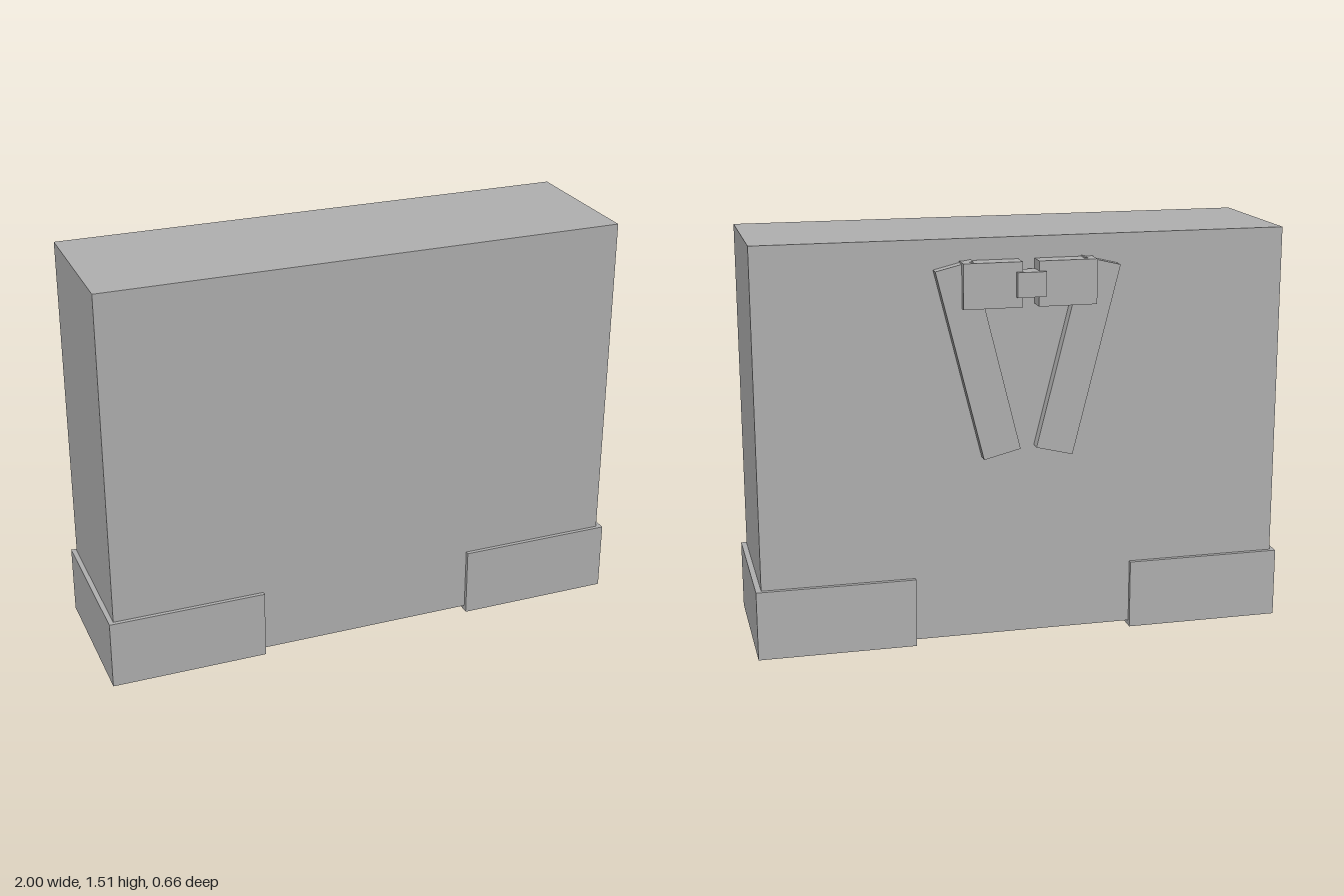
import * as THREE from 'three';

const grey = new THREE.MeshStandardMaterial({ color: 0xb0b0b0 });
grey.name = 'grey';

// Box given by its minimum and maximum corners
function block(name, [x0, y0, z0], [x1, y1, z1]) {
  const geometry = new THREE.BoxGeometry(x1 - x0, y1 - y0, z1 - z0);
  geometry.translate((x0 + x1) / 2, (y0 + y1) / 2, (z0 + z1) / 2);
  const mesh = new THREE.Mesh(geometry, grey);
  mesh.name = name;
  return mesh;
}

// Slanted ribbon hanging from the bow, narrowing inward toward the bottom
function ribbonTail(name, side) {
  const corners = [[0.34, 1.407], [0.204, 1.44], [0.03, 0.744], [0.166, 0.71]];
  const shape = new THREE.Shape(corners.map(([x, y]) => new THREE.Vector2(side * x, y)));
  const geometry = new THREE.ExtrudeGeometry(shape, { depth: 0.042, bevelEnabled: false });
  geometry.translate(0, 0, -0.285);
  const mesh = new THREE.Mesh(geometry, grey);
  mesh.name = name;
  return mesh;
}

export function createModel() {
  const model = new THREE.Group();
  model.name = 'torso';

  // Main body slab
  model.add(block('body', [-0.982, 0.02, -0.239], [0.98, 1.515, 0.316]));

  // Bow on the back
  const bow = new THREE.Group();
  bow.name = 'bow';
  bow.position.x = -0.005;
  bow.add(block('bowKnot', [-0.053, 1.31, -0.33], [0.053, 1.4, -0.255]));
  model.add(bow);

  // Mirrored parts: lower corner cuffs, bow loops and ribbon tails
  for (const [label, side] of [['left', 1], ['right', -1]]) {
    const span = (a, b) => (side > 0 ? [a, b] : [-b, -a]);
    const [c0, c1] = span(0.413, 1);
    model.add(block(label + 'Cuff', [c0, 0, -0.255], [c1, 0.26, 0.331]));
    const [l0, l1] = span(0.03, 0.245);
    bow.add(block(label + 'BowLoop', [l0, 1.272, -0.313], [l1, 1.436, -0.244]));
    bow.add(ribbonTail(label + 'RibbonTail', side));
  }
  return model;
}
